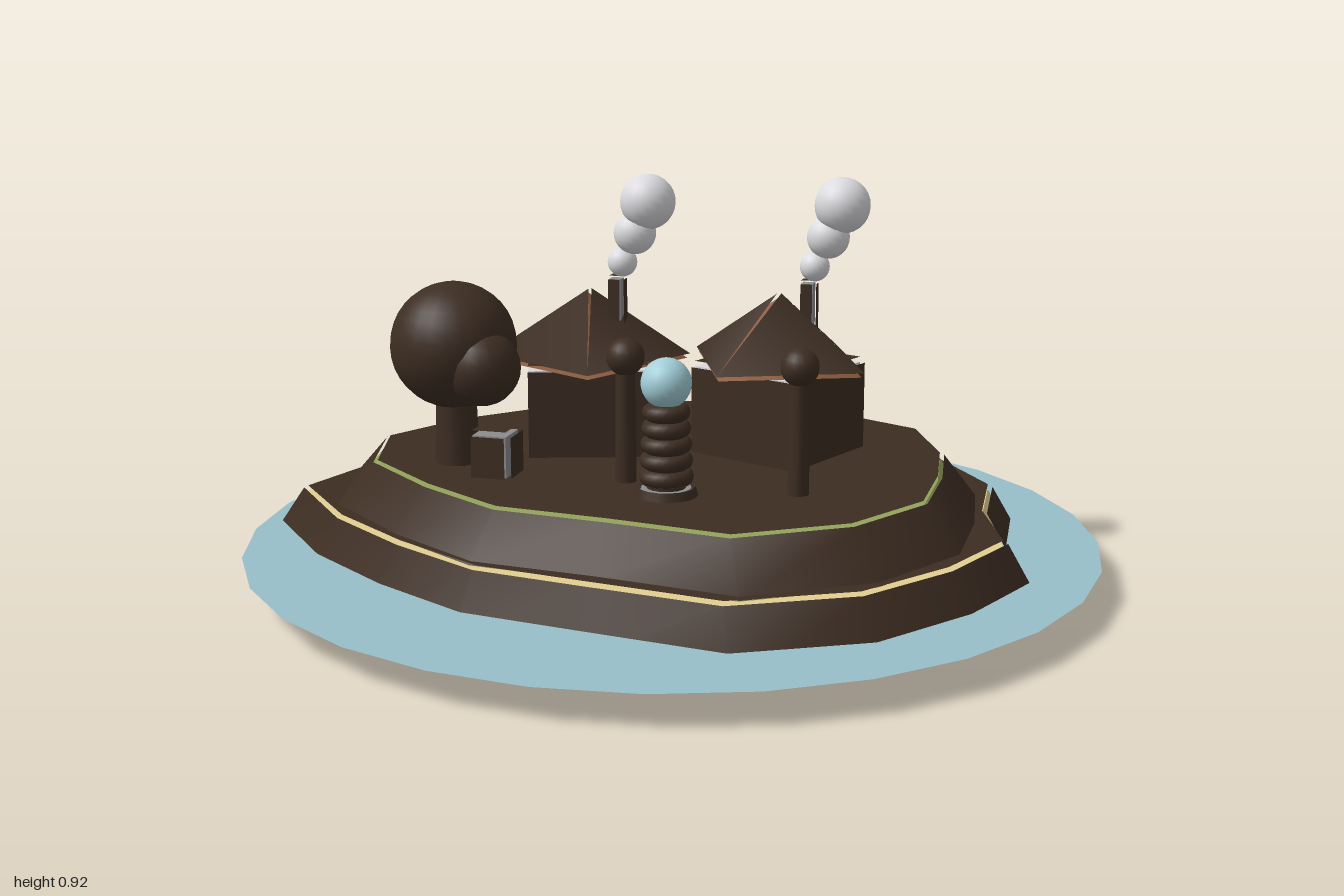
import * as THREE from 'three';
import { mergeVertices } from 'three/addons/utils/BufferGeometryUtils.js';

const mat = (name, color) => {
  const m = new THREE.MeshStandardMaterial({ color });
  m.name = name;
  return m;
};

export function createModel() {
  const brown = mat('dark brown outline', 0x3d2d22);
  const sand = mat('sand', 0xe3cf92);
  const grass = mat('grass', 0x93a35a);
  const water = mat('water', 0x98bfc8);
  const plaster = mat('plaster', 0xd9d9de);
  const thatch = mat('thatch', 0x8a5a3c);
  const smokeWhite = mat('smoke white', 0xdcdce0);
  const stone = mat('stone', 0x8c8c90);
  const glass = mat('pale blue', 0xa3cfd9);
  const leaf = mat('leaf', 0x6f8a45);
  water.side = THREE.DoubleSide;

  const model = new THREE.Group();
  model.name = 'island';

  const add = (parent, name, geo, material, x = 0, y = 0, z = 0) => {
    const mesh = new THREE.Mesh(geo, material);
    mesh.name = name;
    mesh.position.set(x, y, z);
    parent.add(mesh);
    return mesh;
  };

  // Part wrapped in a brown shell pushed out along its normals; hard edges leave fine coloured seams
  const outlined = (parent, name, geo, material, x, y, z, t = 0.013) => {
    add(parent, name, geo, material, x, y, z);
    const shell = geo.clone();
    const p = shell.attributes.position, n = shell.attributes.normal;
    for (let i = 0; i < p.count; i++) {
      p.setXYZ(i, p.getX(i) + n.getX(i) * t, p.getY(i) + n.getY(i) * t, p.getZ(i) + n.getZ(i) * t);
    }
    add(parent, name + 'Shell', shell, brown, x, y, z);
  };

  // Terrace with an irregular outline, radii listed anticlockwise from the front
  const terrace = (radii, y0, y1, bottom, top) => {
    const step = (Math.PI * 2) / radii.length;
    const raw = new THREE.CylinderGeometry(1, 1, y1 - y0, radii.length, 1);
    raw.deleteAttribute('uv');
    const geo = mergeVertices(raw);
    const p = geo.attributes.position;
    for (let i = 0; i < p.count; i++) {
      const x = p.getX(i), z = p.getZ(i);
      if (Math.hypot(x, z) < 0.5) continue;
      const k = (Math.round(Math.atan2(x, z) / step) + radii.length) % radii.length;
      const r = radii[k] * (p.getY(i) > 0 ? top : bottom);
      p.setX(i, x * r);
      p.setZ(i, z * r * 0.82);
    }
    geo.computeVertexNormals();
    return geo;
  };

  const shore = [0.828, 0.938, 0.923, 0.871, 0.863, 0.782, 0.871, 0.923, 0.907,
    0.93, 0.829, 0.815, 0.871, 0.885, 0.961, 0.865, 0.815, 0.829];
  const meadow = [0.636, 0.74, 0.718, 0.677, 0.626, 0.65, 0.718, 0.7,
    0.72, 0.645, 0.643, 0.66, 0.717, 0.706, 0.65, 0.66];
  outlined(model, 'beach', terrace(shore, 0.013, 0.152, 1.028, 0.93), sand, 0, 0.0825, 0);
  outlined(model, 'meadow', terrace(meadow, 0.15, 0.257, 1.13, 1), grass, 0, 0.2035, 0);

  // Water sheet
  const sheet = new THREE.CircleGeometry(1, 28).rotateX(-Math.PI / 2);
  add(model, 'water', sheet, water, 0, 0.075, 0);

  // Cottages: the roof corners sit over the middles of the walls
  for (const [x, z, turn] of [[-0.23, -0.08, 0.3], [0.22, -0.14, -0.39]]) {
    const house = new THREE.Group();
    house.name = 'cottage';
    house.position.set(x, 0, z);
    model.add(house);
    const body = new THREE.Group();
    body.name = 'cottageBody';
    body.rotation.y = turn;
    house.add(body);
    outlined(body, 'walls', new THREE.BoxGeometry(0.28, 0.225, 0.28), plaster, 0, 0.3625, 0);
    outlined(body, 'roof', new THREE.ConeGeometry(0.235, 0.16, 4), thatch, 0, 0.555, 0);
    outlined(house, 'chimney', new THREE.BoxGeometry(0.028, 0.17, 0.028), stone, 0.07, 0.588, 0, 0.008);
    [[0.085, 0.713, 0.035], [0.116, 0.783, 0.05], [0.148, 0.858, 0.065]].forEach(([sx, sy, r]) =>
      add(house, 'smokePuff', new THREE.SphereGeometry(r, 20, 14), smokeWhite, sx, sy, 0));
  }

  // Tree
  outlined(model, 'trunk', new THREE.CylinderGeometry(0.032, 0.04, 0.2, 10), thatch, -0.47, 0.355, 0.175);
  outlined(model, 'crown', new THREE.SphereGeometry(0.133, 24, 18), leaf, -0.473, 0.547, 0.176);
  outlined(model, 'lowerCrown', new THREE.SphereGeometry(0.075, 20, 14), leaf, -0.385, 0.508, 0.225);

  // Crate under the tree
  outlined(model, 'crate', new THREE.BoxGeometry(0.08, 0.11, 0.08), stone, -0.347, 0.31, 0.25, 0.012);

  // Lamp posts
  for (const x of [-0.042, 0.353]) {
    outlined(model, 'lampPost', new THREE.CylinderGeometry(0.012, 0.014, 0.27, 10), stone, x, 0.39, 0.233, 0.01);
    outlined(model, 'lampBall', new THREE.SphereGeometry(0.033, 18, 12), sand, x, 0.555, 0.233, 0.01);
  }

  // Coiled pillar with a pale blue globe
  const pillar = new THREE.Group();
  pillar.name = 'pillar';
  pillar.position.set(0.075, 0, 0.313);
  model.add(pillar);
  outlined(pillar, 'pillarFoot', new THREE.CylinderGeometry(0.055, 0.064, 0.03, 18), stone, 0, 0.272, 0, 0.01);
  add(pillar, 'pillarCore', new THREE.CylinderGeometry(0.035, 0.045, 0.2, 14), brown, 0, 0.37, 0);
  for (let i = 0; i < 5; i++) {
    const ring = new THREE.TorusGeometry(0.042 - i * 0.002, 0.019, 10, 22).rotateX(Math.PI / 2);
    add(pillar, 'pillarRing', ring, brown, 0, 0.312 + i * 0.036, 0);
  }
  add(pillar, 'globe', new THREE.SphereGeometry(0.056, 22, 16), glass, 0, 0.52, 0);

  return model;
}
